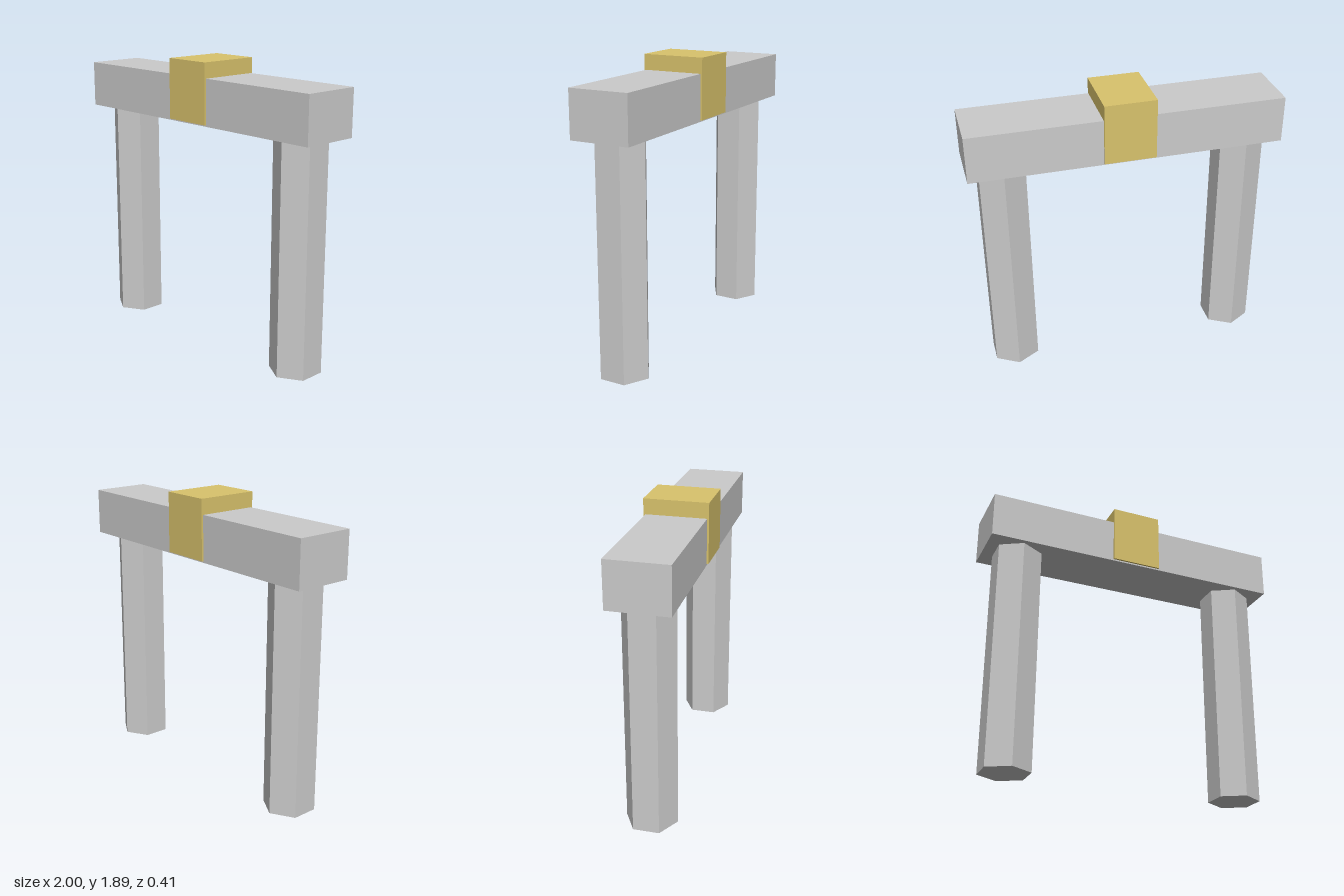
import * as THREE from 'three';

export function createModel() {
  const model = new THREE.Group();
  const grey = new THREE.MeshStandardMaterial({ color: 0xcccccc, flatShading: true });
  const gold = new THREE.MeshStandardMaterial({ color: 0xd9c36c, flatShading: true });

  const add = (name, geometry, material, x, y) => {
    const mesh = new THREE.Mesh(geometry, material);
    mesh.name = name;
    mesh.position.set(x, y, 0);
    model.add(mesh);
  };

  // Hexagonal pillars, corners pointing front and back
  const pillarHeight = 1.495;
  const pillar = new THREE.CylinderGeometry(0.167, 0.167, pillarHeight, 6);
  for (const [name, side] of [['leftPillar', 1], ['rightPillar', -1]]) {
    add(name, pillar, grey, side * 0.777, pillarHeight / 2);
  }

  // Lintel resting on the pillars
  add('lintel', new THREE.BoxGeometry(2, 0.3, 0.39), grey, 0, 1.645);

  // Keystone block wrapped around the middle of the lintel
  add('keystone', new THREE.BoxGeometry(0.33, 0.39, 0.414), gold, 0, 1.7);

  return model;
}
